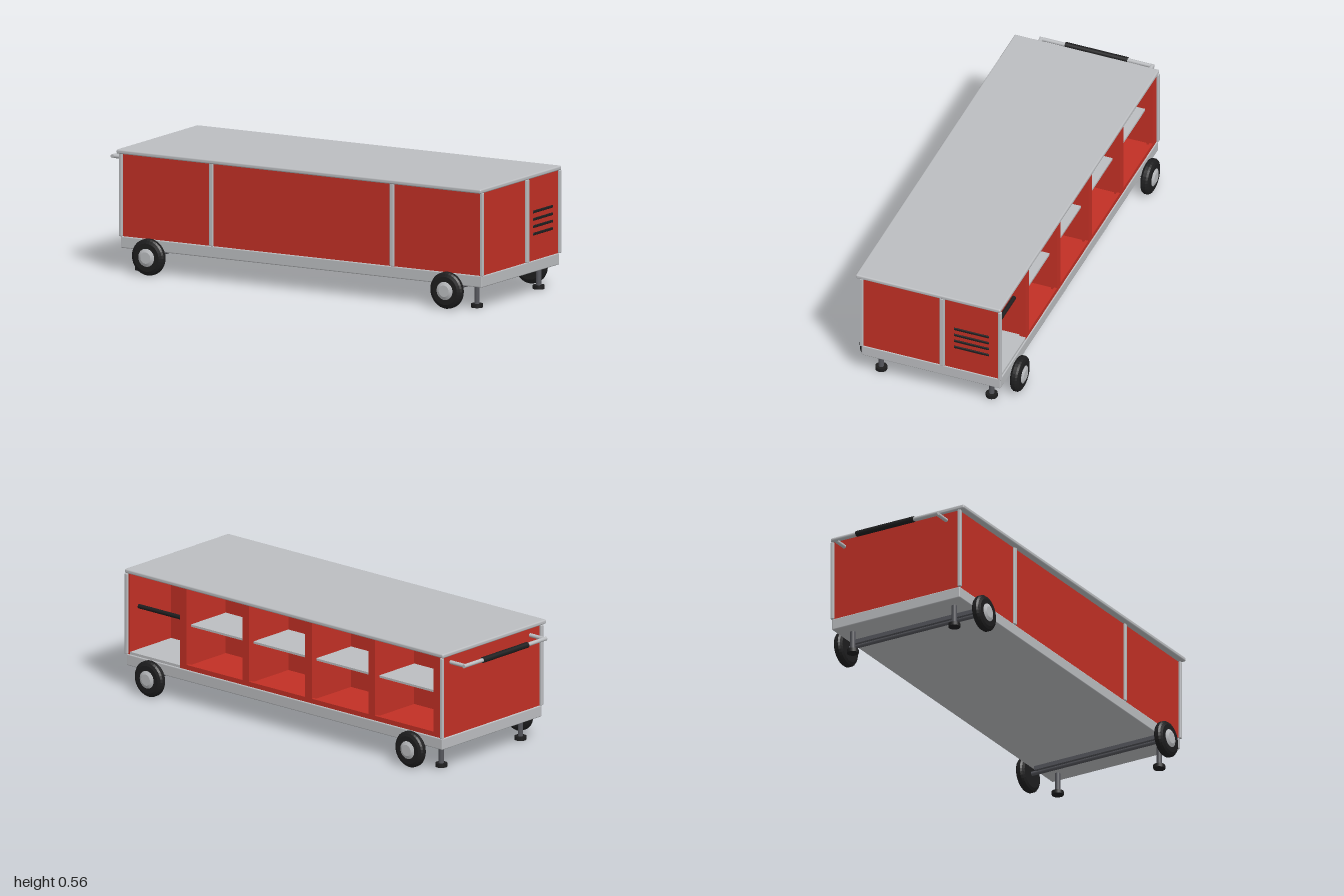
import * as THREE from 'three';
import { RoundedBoxGeometry } from 'three/addons/geometries/RoundedBoxGeometry.js';

export function createModel() {
  const root = new THREE.Group();
  root.name = 'workshopTrolley';
  const mat = (name, color) => {
    const m = new THREE.MeshStandardMaterial({ color });
    m.name = name;
    return m;
  };
  const red = mat('redPaint', 0xc23025);
  const grey = mat('lightGreyMetal', 0xbbbdc0);
  const dark = mat('darkSteel', 0x55565c);
  const black = mat('blackRubber', 0x1e1e1f);

  const add = (name, geo, material, x = 0, y = 0, z = 0, parent = root) => {
    const mesh = new THREE.Mesh(geo, material);
    mesh.name = name;
    mesh.position.set(x, y, z);
    parent.add(mesh);
    return mesh;
  };
  // Box given by its limits along each axis, with optional rounded edges
  const box = (name, material, [x0, x1], [y0, y1], [z0, z1], r = 0) => {
    const s = [x1 - x0, y1 - y0, z1 - z0];
    const geo = r ? new RoundedBoxGeometry(...s, 3, r) : new THREE.BoxGeometry(...s);
    return add(name, geo, material, (x0 + x1) / 2, (y0 + y1) / 2, (z0 + z1) / 2);
  };
  // Round bar between two points
  const rod = (name, material, a, b, r) => {
    const p = new THREE.Vector3(...a), q = new THREE.Vector3(...b);
    const d = q.clone().sub(p);
    const mesh = add(name, new THREE.CylinderGeometry(r, r, d.length(), 20), material);
    mesh.position.copy(p).add(q).multiplyScalar(0.5);
    mesh.quaternion.setFromUnitVectors(new THREE.Vector3(0, 1, 0), d.normalize());
    return mesh;
  };

  // Chassis and worktop
  box('chassis', grey, [-0.905, 0.985], [0.105, 0.158], [-0.335, 0.335], 0.005);
  box('worktop', grey, [-0.912, 0.995], [0.536, 0.556], [-0.338, 0.36], 0.007);

  // Cabinet walls
  const H = [0.158, 0.536];
  box('frontPanel', red, [-0.9, 0.982], H, [0.315, 0.33]);
  box('leftEndPanel', red, [0.967, 0.982], H, [-0.33, 0.315]);
  box('rightEndPanel', red, [-0.9, -0.885], H, [-0.33, 0.315]);
  box('partition', red, [-0.885, 0.967], H, [-0.055, -0.04]);

  // Frame posts at the corners, on the front and on the left end
  for (const z of [-0.333, 0.333])
    for (const x of [-0.902, 0.985])
      box('cornerPost', grey, [x - 0.008, x + 0.008], H, [z - 0.008, z + 0.008], 0.004);
  for (const x of [-0.43, 0.515])
    box('frontPost', grey, [x - 0.01, x + 0.01], H, [0.326, 0.34], 0.004);
  box('endPost', grey, [0.978, 0.992], H, [-0.066, -0.043], 0.004);

  // Rear compartments: dividers with edge posts, floors, shelves and sill
  const dividers = [0.65, 0.275, -0.1, -0.478, -0.868];
  dividers.forEach((x, i) => {
    box('divider', red, [x - 0.01, x + 0.01], H, [-0.32, -0.055]);
    box('dividerPost', red, [x - 0.02, x + 0.02], H, [-0.33, -0.3]);
    if (i === 0) return;
    const bay = [x + 0.01, dividers[i - 1] - 0.01];
    box('shelf', grey, bay, [0.348, 0.358], [-0.29, -0.055]);
    box('compartmentFloor', red, bay, [0.158, 0.168], [-0.32, -0.055]);
    box('compartmentSill', red, bay, [0.158, 0.18], [-0.33, -0.315]);
  });
  box('openBayFloor', grey, [0.66, 0.967], [0.158, 0.17], [-0.33, -0.055]);
  rod('hangingRail', black, [0.66, 0.37, -0.27], [0.967, 0.37, -0.27], 0.01);

  // Vent slots on the left end
  for (const y of [0.278, 0.312, 0.345, 0.379])
    box('ventSlot', black, [0.979, 0.987], [y - 0.006, y + 0.006], [-0.278, -0.11], 0.003);

  // Push handle on the right end
  const hx = -0.986, hy = 0.503;
  for (const z of [-0.272, 0.262]) rod('handleArm', grey, [-0.895, hy, z], [hx, hy, z], 0.009);
  rod('handleBar', grey, [hx, hy, -0.281], [hx, hy, 0.271], 0.009);
  rod('handleGrip', black, [hx, hy, -0.155], [hx, hy, 0.145], 0.0135);

  // Axles and wheels
  const profile = (pts) => new THREE.LatheGeometry(
    pts.map(([r, y]) => new THREE.Vector2(r, y)), 32).rotateX(Math.PI / 2);
  const flatEdges = (geo) => {
    const g = geo.toNonIndexed();
    g.computeVertexNormals();
    return g;
  };
  const tyre = flatEdges(profile([[0, -0.022], [0.064, -0.022], [0.077, -0.016], [0.083, -0.008],
    [0.083, 0.008], [0.077, 0.016], [0.064, 0.022], [0, 0.022]]));
  const hub = flatEdges(profile([[0.042, 0.018], [0.041, 0.023], [0.026, 0.03], [0, 0.03]]));
  for (const x of [-0.74, 0.82]) {
    rod('axle', dark, [x, 0.083, -0.35], [x, 0.083, 0.35], 0.01);
    box('axleBeam', dark, [x - 0.025, x + 0.025], [0.086, 0.106], [-0.315, 0.315]);
    for (const side of [-1, 1]) {
      const wheel = new THREE.Group();
      wheel.name = 'wheel';
      wheel.position.set(x, 0.083, side * 0.362);
      if (side < 0) wheel.rotation.y = Math.PI;
      add('tyre', tyre, black, 0, 0, 0, wheel);
      add('hub', hub, grey, 0, 0, 0, wheel);
      root.add(wheel);
    }
  }

  // Levelling feet
  for (const x of [-0.838, 0.918])
    for (const z of [-0.266, 0.266]) {
      rod('footPost', dark, [x, 0.015, z], [x, 0.107, z], 0.012);
      rod('footPad', black, [x, 0, z], [x, 0.017, z], 0.027);
    }

  return root;
}
